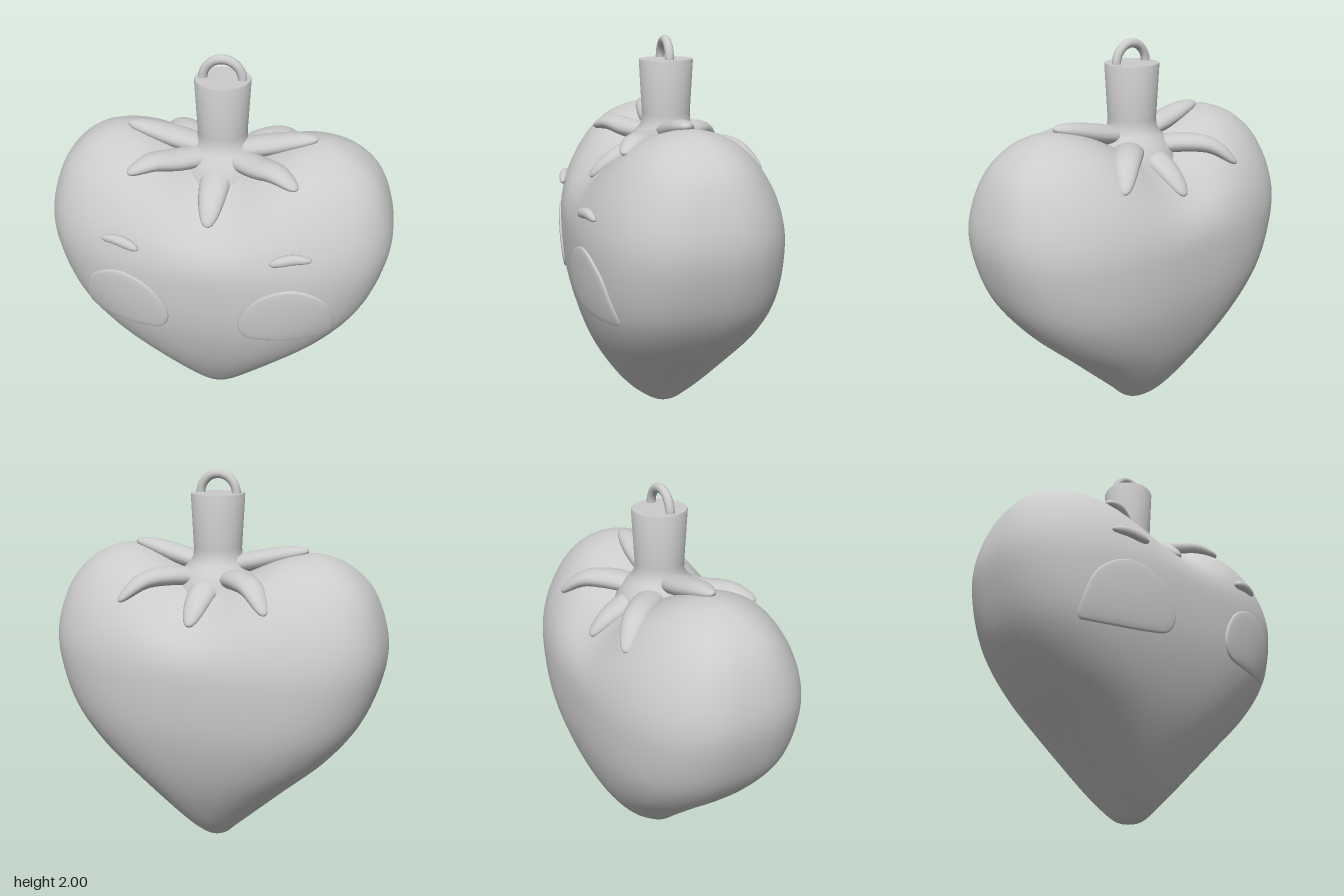
import * as THREE from 'three';
import { mergeVertices, toCreasedNormals } from 'three/addons/utils/BufferGeometryUtils.js';

const material = new THREE.MeshStandardMaterial({ color: 0xcccccc });
const V = (x, y, z) => new THREE.Vector3(x, y, z);

// Body profile: half width (x), height (y), half depth (z)
const profile = new THREE.CatmullRomCurve3([
  V(0, 0.005, 0), V(0.06, 0.02, 0.07), V(0.13, 0.09, 0.165), V(0.23, 0.19, 0.255), V(0.44, 0.4, 0.385),
  V(0.64, 0.6, 0.465), V(0.78, 0.8, 0.51), V(0.85, 1.0, 0.52), V(0.87, 1.15, 0.507), V(0.845, 1.3, 0.46),
  V(0.78, 1.45, 0.37), V(0.68, 1.55, 0.27), V(0.57, 1.605, 0.155), V(0.49, 1.622, 0.07), V(0.4, 1.625, 0),
]).getPoints(84);
const exponent = (y) => 2 + 0.62 * THREE.MathUtils.smoothstep(y, 0, 0.8);
// The notch between the two lobes
const dip = (x, y) => 0.17 * Math.exp(-((x / 0.28) ** 2)) * THREE.MathUtils.smoothstep(y, 1.05, 1.6);

// Height of the upper surface above a point (x, z)
function topY(x, z) {
  let y = 1;
  for (let i = 0; i < profile.length - 1; i++) {
    const a = profile[i], b = profile[i + 1];
    for (let t = 0; t < 1; t += 0.125) {
      const p = a.clone().lerp(b, t), n = exponent(p.y);
      if (p.y > 0.95 && (Math.abs(x) / p.x) ** n + (Math.abs(z) / Math.max(p.z, 1e-4)) ** n < 1) y = p.y;
    }
  }
  return y - dip(x, y);
}

// Depth of the front surface at (x, y)
function frontZ(x, y) {
  const i = Math.max(1, profile.findIndex((p) => p.y >= y));
  const a = profile[i - 1], b = profile[i];
  const p = a.clone().lerp(b, (y - a.y) / (b.y - a.y)), n = exponent(y);
  return p.z * Math.max(0, 1 - (Math.abs(x) / p.x) ** n) ** (1 / n);
}

// Smooth skin over a list of closed rings with equal point counts
function loft(rings) {
  const n = rings[0].length, index = [];
  for (let j = 0; j < rings.length - 1; j++) {
    for (let i = 0; i < n; i++) {
      const a = j * n + i, b = j * n + ((i + 1) % n);
      index.push(a, a + n, b, b, a + n, b + n);
    }
  }
  let g = new THREE.BufferGeometry().setFromPoints(rings.flat());
  g.setIndex(index);
  g = mergeVertices(g, 1e-4);
  g.computeVertexNormals();
  return g;
}

// Rounded finger along a curve; normalAt gives the thickness direction
function finger(curve, halfWidth, halfThick, taper, normalAt) {
  const rings = [], steps = 20, sides = 18;
  for (let k = 0; k <= steps; k++) {
    const s = (1 - Math.cos((Math.PI * k) / steps)) / 2;
    const f = Math.max(0, Math.sin((Math.PI * k) / steps)) ** 0.85 * (1 - taper * s);
    const c = curve.getPoint(s), t = curve.getTangent(s);
    const b = normalAt(t), a = t.clone().cross(b);
    rings.push(Array.from({ length: sides }, (_, i) => {
      const u = (i / sides) * Math.PI * 2;
      return c.clone().addScaledVector(a, Math.cos(u) * halfWidth * f).addScaledVector(b, Math.sin(u) * halfThick * f);
    }));
  }
  return loft(rings);
}

export function createModel() {
  const model = new THREE.Group();
  const add = (name, geometry, parent = model) => {
    const mesh = new THREE.Mesh(geometry, material);
    mesh.name = name;
    parent.add(mesh);
    return mesh;
  };

  // Heart-shaped fruit
  const sides = 80;
  add('body', loft(profile.map((p) => Array.from({ length: sides }, (_, i) => {
    const u = (i / sides) * Math.PI * 2, c = Math.cos(u), s = Math.sin(u), e = 2 / exponent(p.y);
    const x = p.x * Math.sign(c) * Math.abs(c) ** e;
    return V(x, p.y - dip(x, p.y), p.z * Math.sign(s) * Math.abs(s) ** e);
  }))));

  // Crown of eight leaves, rooted in the hub and resting on the top
  const leaves = new THREE.Group();
  leaves.name = 'leaves';
  model.add(leaves);
  const tips = [[0, 0.385], [0.4, 0.29], [0.465, 0.01], [0.375, -0.385], [0, -0.395], [-0.375, -0.385], [-0.465, 0.01], [-0.4, 0.29]];
  for (const [x, z] of tips) {
    const tipY = topY(x, z) + 0.012;
    const points = [0, 0.25, 0.5, 0.75, 1].map((t) => {
      const line = THREE.MathUtils.lerp(1.515, tipY, t);
      return V(x * t, Math.max(line, topY(x * t, z * t) + 0.012), z * t);
    });
    const side = V(z, 0, -x).normalize();
    const normalAt = (t) => t.clone().cross(side).normalize();
    add('leaf', finger(new THREE.CatmullRomCurve3(points), 0.085, 0.055, 0.25, normalAt), leaves);
  }

  // Stem flaring into the leaves
  const stem = [[0, 1.34], [0.24, 1.35], [0.22, 1.44], [0.18, 1.51], [0.145, 1.545], [0.124, 1.575], [0.121, 1.62], [0.134, 1.88], [0.131, 1.887], [0, 1.887]];
  add('stem', toCreasedNormals(new THREE.LatheGeometry(stem.map(([r, y]) => new THREE.Vector2(r, y)), 48), 0.7)).position.z = -0.01;

  // Hanging loop
  add('loop', new THREE.TorusGeometry(0.094, 0.022, 16, 48)).position.set(0, 1.884, -0.004);

  // Eyes and cheeks, mirrored
  const outline = new THREE.CatmullRomCurve3([
    [0.62, 0.765], [0.618, 0.88], [0.57, 1.0], [0.43, 1.075], [0.28, 1.03], [0.2, 0.94],
    [0.172, 0.84], [0.21, 0.77], [0.32, 0.747], [0.45, 0.742], [0.58, 0.752],
  ].map(([x, y]) => V(x, y, 0)), true).getPoints(72).slice(0, -1);
  const cheekMaterial = new THREE.MeshStandardMaterial({ color: 0xcccccc, side: THREE.DoubleSide });
  for (const m of [1, -1]) {
    const label = m > 0 ? 'left' : 'right';
    const eyePath = [[0.31, 1.212], [0.36, 1.228], [0.42, 1.238], [0.5, 1.23]]
      .map(([x, y]) => V(m * x, y, frontZ(x, y) + 0.008));
    add(label + 'Eye', finger(new THREE.CatmullRomCurve3(eyePath), 0.027, 0.025, 0, () => V(0, 0, 1)));

    // Cheek patch following the body surface, with a softly turned rim
    const rings = [[1, -0.02], [1, 0.002], [0.985, 0.007], [0.95, 0.01], [0.8, 0.011], [0.6, 0.011], [0.4, 0.011], [0.2, 0.011], [0, 0.011]]
      .map(([t, lift]) => {
        const ring = outline.map((p) => {
          const x = 0.4 + (p.x - 0.4) * t, y = 0.88 + (p.y - 0.88) * t;
          return V(m * x, y, frontZ(x, y) + lift);
        });
        return m > 0 ? ring : ring.reverse();
      });
    add(label + 'Cheek', loft(rings)).material = cheekMaterial;
  }
  return model;
}
